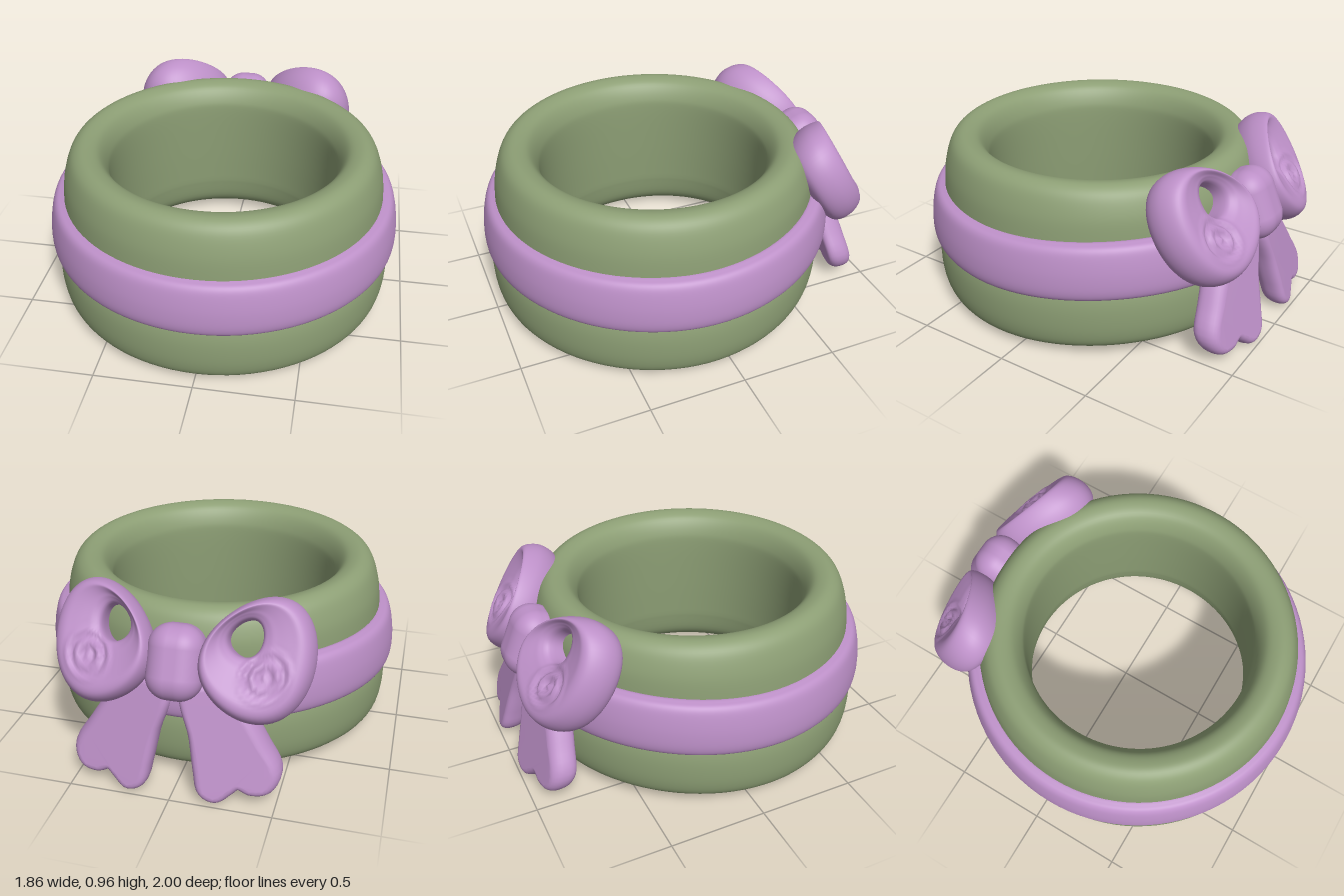
import * as THREE from 'three';
import { mergeVertices } from 'three/addons/utils/BufferGeometryUtils.js';
import { RoundedBoxGeometry } from 'three/addons/geometries/RoundedBoxGeometry.js';

const vec2s = (pts) => pts.map(([x, y]) => new THREE.Vector2(x, y));
const smooth = THREE.MathUtils.smoothstep;

// Move every vertex by a rule, then weld and smooth the normals
function reshape(geometry, rule) {
  geometry.deleteAttribute('uv');
  geometry.deleteAttribute('normal');
  const pos = geometry.attributes.position;
  const v = new THREE.Vector3();
  for (let i = 0; i < pos.count; i++) {
    v.fromBufferAttribute(pos, i);
    rule(v);
    pos.setXYZ(i, v.x, v.y, v.z);
  }
  const welded = mergeVertices(geometry, 1e-4);
  welded.computeVertexNormals();
  return welded;
}

// Copy mirrored across x = 0 with the corner order put right
function mirrored(geometry) {
  const g = geometry.clone().scale(-1, 1, 1);
  const idx = g.index;
  for (let i = 0; i < idx.count; i += 3) {
    const a = idx.getX(i);
    idx.setX(i, idx.getX(i + 1));
    idx.setX(i + 1, a);
  }
  g.computeVertexNormals();
  return g;
}

// Closed ring from a smooth section, its lower part lifted slightly at the back
function ringGeometry(section, samples, centreZ) {
  const curve = new THREE.SplineCurve(vec2s([...section, section[0]]));
  const geo = new THREE.LatheGeometry(curve.getPoints(samples), 96);
  return reshape(geo, (v) => {
    v.y += 0.038 * smooth(-v.z, -0.2, 0.85) * (1 - smooth(v.y, 0.62, 0.88));
    v.z += centreZ;
  });
}

// Puffy bow loop: outline teardrop, dished back, opening in the upper part
function loopGeometry() {
  const section = vec2s([
    [0.3, -0.07], [0.48, -0.11], [0.7, -0.12], [0.88, -0.09], [0.97, -0.045], [1, 0.01],
    [0.97, 0.06], [0.9, 0.098], [0.8, 0.112], [0.68, 0.105], [0.52, 0.09], [0.4, 0.075],
    [0.3, 0.04], [0.3, -0.07],
  ]);
  const curve = new THREE.SplineCurve(section);
  const geo = new THREE.LatheGeometry(curve.getPoints(52), 64);
  const tilt = 0.54, up = Math.cos(tilt), lean = Math.sin(tilt);
  return reshape(geo, (v) => {
    const rho = Math.hypot(v.x, v.z);
    const c = v.x / rho, s = v.z / rho;
    // outline blends into the off-centre opening
    const shift = 1 - smooth(rho, 0.25, 1);
    const p = 0.368 + 0.26 * rho * c - 0.06 * shift;
    const q = 0.288 * rho * s * (1 + 0.18 * c) + 0.1 * shift;
    let w = v.y;
    // ringed folds on the lower outer part of the back
    if (w > 0.03 && rho < 0.85) {
      const d = Math.hypot(p - 0.42, q + 0.08);
      w += 0.012 * Math.cos(d * 110) * (1 - smooth(d, 0.07, 0.15));
    }
    v.set(p, 0.688 + up * q + lean * w, -0.815 + lean * q - up * w + 0.25 * (p - 0.1));
  });
}

// Thick ribbon tail with a notched, rounded end, leaning away from the ring
function tailGeometry() {
  const outline = [
    [0.06, 0.53], [0.11, 0.33], [0.14, 0.17], [0.165, 0.075], [0.22, 0.05], [0.27, 0.085],
    [0.32, 0.12], [0.385, 0.095], [0.45, 0.105], [0.475, 0.165], [0.41, 0.28], [0.31, 0.43],
    [0.2, 0.54],
  ];
  const curve = new THREE.CatmullRomCurve3(
    outline.map(([x, y]) => new THREE.Vector3(x, y, 0)), true);
  const shape = new THREE.Shape(curve.getPoints(60).slice(0, -1).map((p) => new THREE.Vector2(p.x, p.y)));
  const geo = new THREE.ExtrudeGeometry(shape, {
    depth: 0.016, steps: 1, curveSegments: 1,
    bevelEnabled: true, bevelThickness: 0.06, bevelSize: 0.04, bevelSegments: 6,
  });
  return reshape(geo, (v) => {
    v.z += -0.82 + 0.28 * (v.y - 0.45) + 0.16 * (v.x - 0.2);
  });
}

export function createModel() {
  const model = new THREE.Group();
  model.name = 'ringWithBow';

  const green = new THREE.MeshStandardMaterial({ color: 0x8d9f75 });
  green.name = 'sageGreen';
  const purple = new THREE.MeshStandardMaterial({ color: 0xbd90c8 });
  purple.name = 'lilac';

  const add = (name, geometry, material) => {
    const mesh = new THREE.Mesh(geometry, material);
    mesh.name = name;
    model.add(mesh);
    return mesh;
  };

  // Thick ring body, a little wider below the band
  add('ringBody', ringGeometry([
    [0.612, 0.22], [0.635, 0.1], [0.68, 0.035], [0.745, 0.01], [0.81, 0.018], [0.87, 0.055],
    [0.895, 0.13], [0.9, 0.24], [0.888, 0.33], [0.855, 0.42], [0.848, 0.53], [0.845, 0.62],
    [0.832, 0.73], [0.8, 0.83], [0.76, 0.875], [0.71, 0.886], [0.65, 0.862], [0.61, 0.79],
    [0.599, 0.7], [0.603, 0.45],
  ], 100, 0.08), green);

  // Ribbon band around the middle
  add('ribbonBand', ringGeometry([
    [0.83, 0.36], [0.88, 0.337], [0.915, 0.345], [0.93, 0.39], [0.928, 0.47], [0.914, 0.55],
    [0.897, 0.595], [0.87, 0.613], [0.83, 0.608], [0.82, 0.5],
  ], 60, 0.072), purple);

  // Bow: two loops and two tails, mirrored, held by a knot
  const loop = loopGeometry();
  add('leftBowLoop', loop, purple);
  add('rightBowLoop', mirrored(loop), purple);

  const tail = tailGeometry();
  add('leftBowTail', tail, purple);
  add('rightBowTail', mirrored(tail), purple);

  const knot = add('bowKnot', new RoundedBoxGeometry(0.27, 0.36, 0.24, 8, 0.11), purple);
  knot.position.set(0, 0.67, -0.82);
  knot.rotation.x = 0.4;

  return model;
}
